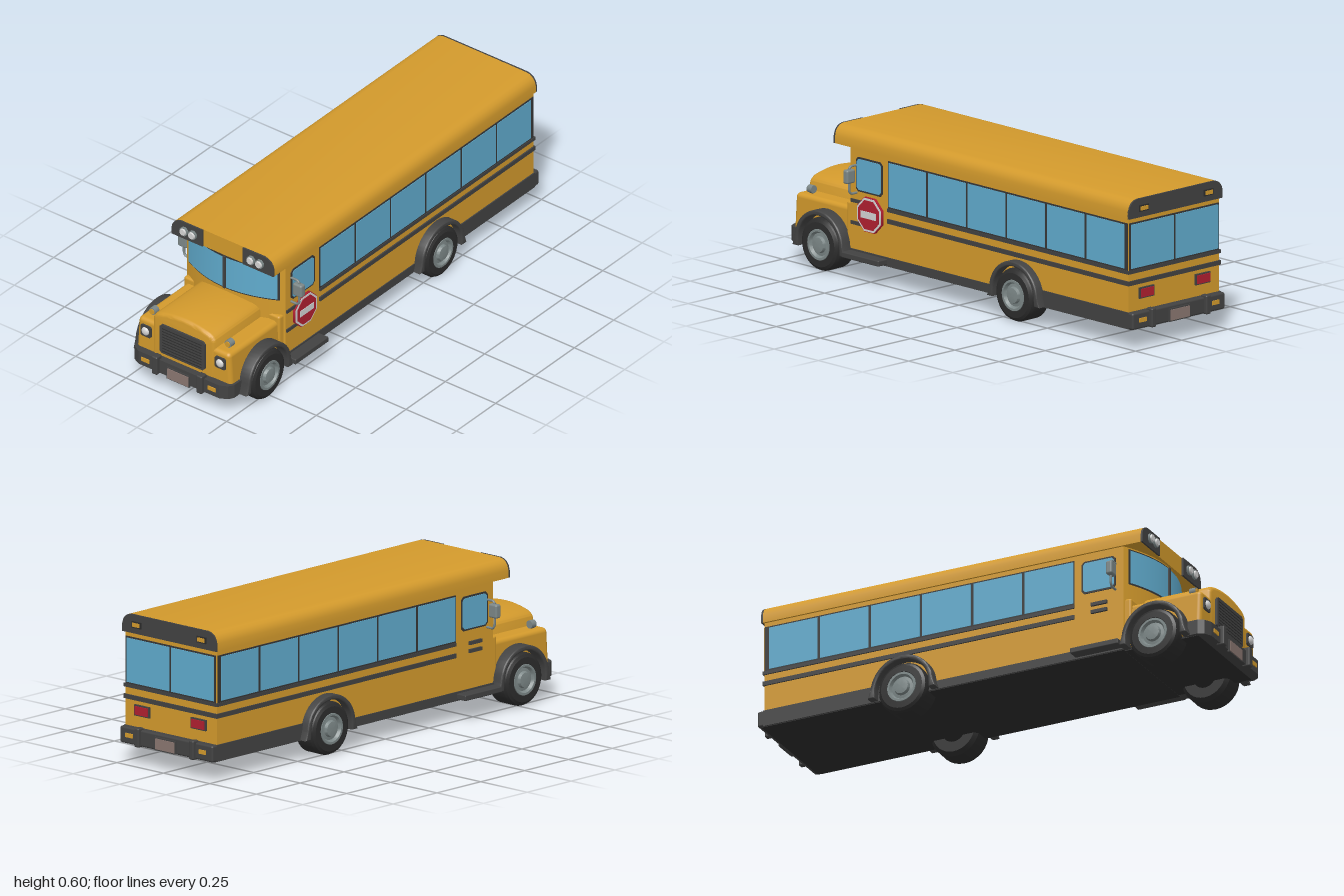
import * as THREE from 'three';
import { toCreasedNormals } from 'three/addons/utils/BufferGeometryUtils.js';
import { RoundedBoxGeometry } from 'three/addons/geometries/RoundedBoxGeometry.js';

const mat = (name, color, extra = {}) => Object.assign(new THREE.MeshStandardMaterial({ color, ...extra }), { name });

export function createModel() {
  const yellow = mat('school yellow', 0xd39a2c);
  const dark = mat('charcoal trim', 0x424242);
  const black = mat('rubber black', 0x2c2c2c);
  const glass = mat('window blue', 0x60abcd, { side: THREE.DoubleSide });
  const frame = mat('window seal', 0x363636, { side: THREE.DoubleSide });
  const grey = mat('metal grey', 0x7c8787);
  const white = mat('lamp white', 0xd4d4d4);
  const red = mat('signal red', 0xb01f30);
  const plateTone = mat('plate brown', 0x8a7670);

  const bus = new THREE.Group();
  bus.name = 'bus';
  const add = (name, geo, material, x = 0, y = 0, z = 0) => {
    const m = new THREE.Mesh(geo, material);
    m.name = name;
    m.position.set(x, y, z);
    bus.add(m);
    return m;
  };
  // box given by its limits
  const box = (name, m, x0, x1, y0, y1, z0, z1, r = 0) => {
    const s = [Math.abs(x1 - x0), y1 - y0, z1 - z0];
    const g = r ? new RoundedBoxGeometry(...s, 2, r) : new THREE.BoxGeometry(...s);
    return add(name, g, m, (x0 + x1) / 2, (y0 + y1) / 2, (z0 + z1) / 2);
  };
  const poly = pts => new THREE.Shape(pts.map(p => new THREE.Vector2(...p)));
  const extrude = (shape, depth, bevel = 0, crease = 0.6) => toCreasedNormals(new THREE.ExtrudeGeometry(shape, {
    depth: depth - 2 * bevel, bevelEnabled: bevel > 0, bevelSize: bevel, bevelOffset: -bevel,
    bevelThickness: bevel, bevelSegments: 3, curveSegments: 12,
  }).translate(0, 0, bevel), crease);
  const cut = (x0, x1, y0, y1, c) => poly([[x0 + c, y0], [x1 - c, y0], [x1, y0 + c], [x1, y1 - c],
    [x1 - c, y1], [x0 + c, y1], [x0, y1 - c], [x0, y0 + c]]);
  const disc = (r, depth, n = 24, r2 = r) => new THREE.CylinderGeometry(r2, r, depth, n).rotateX(Math.PI / 2);

  // Main body: plan outline with a bowed nose, raised along y
  const nose = x => 0.69 - 0.07 * (x / 0.245) ** 2;
  const plan = [[-0.245, 0.955], [0.245, 0.955]];
  for (let i = 0; i <= 24; i++) {
    const x = 0.245 - 0.49 * i / 24;
    plan.push([x, -nose(x)]);
  }
  add('body', extrude(poly(plan), 0.441).rotateX(-Math.PI / 2), yellow, 0, 0.085, 0);

  // Bowed windshield
  const bowed = (name, m, x0, x1, y0, y1, off) => {
    const g = new THREE.PlaneGeometry(x1 - x0, y1 - y0, 24, 1).translate((x0 + x1) / 2, (y0 + y1) / 2, 0);
    const p = g.attributes.position;
    for (let i = 0; i < p.count; i++) p.setZ(i, nose(p.getX(i)) + off);
    g.computeVertexNormals();
    add(name, g, m);
  };
  bowed('windshieldFrame', frame, -0.228, 0.228, 0.366, 0.518, 0.003);
  bowed('windshieldRight', glass, -0.221, -0.008, 0.372, 0.512, 0.006);
  bowed('windshieldLeft', glass, 0.008, 0.221, 0.372, 0.512, 0.006);
  box('windshieldDivider', dark, -0.006, 0.006, 0.368, 0.516, 0.685, 0.7);

  // Roof with rounded shoulders and dark end caps
  const shoulder = [[0.253, 0.525], [0.253, 0.556], [0.248, 0.574], [0.238, 0.588], [0.224, 0.597], [0.207, 0.601]];
  const mirrored = shoulder.map(([x, y]) => [-x, y]).reverse();
  add('roof', extrude(poly([...shoulder, ...mirrored]), 1.66), yellow, 0, 0, -0.96);
  add('roofRearCap', extrude(poly([...shoulder, ...mirrored]), 0.008), dark, 0, 0, -0.967);
  add('roofFrontCapLeft', extrude(poly([[0.1, 0.525], ...shoulder, [0.1, 0.601]]), 0.008), dark, 0, 0, 0.699);
  add('roofFrontCapRight', extrude(poly([...mirrored, [-0.253, 0.525], [-0.1, 0.525], [-0.1, 0.601]].reverse()), 0.008), dark, 0, 0, 0.699);

  // Hood with arched top
  const hood = new THREE.Shape();
  hood.moveTo(-0.157, 0.09);
  hood.lineTo(0.157, 0.09);
  hood.lineTo(0.154, 0.3);
  hood.quadraticCurveTo(0.152, 0.32, 0.125, 0.332);
  hood.quadraticCurveTo(0, 0.37, -0.125, 0.332);
  hood.quadraticCurveTo(-0.152, 0.32, -0.154, 0.3);
  add('hood', extrude(hood, 0.32, 0.016), yellow, 0, 0, 0.635);

  // Grille
  add('grillePanel', extrude(cut(-0.112, 0.112, 0.16, 0.292, 0.01), 0.016), dark, 0, 0, 0.948);
  for (let i = 0; i < 9; i++) box('grilleGap', black, -0.098, 0.098, 0.17 + i * 0.013, 0.173 + i * 0.013, 0.96, 0.9655);

  // Front bumper with swept corners
  add('frontBumper', extrude(poly([[-0.245, -0.9], [0.245, -0.9], [0.245, -0.945], [0.232, -0.968], [0.2, -0.984],
    [-0.2, -0.984], [-0.232, -0.968], [-0.245, -0.945]].reverse()), 0.06, 0, 0.4).rotateX(-Math.PI / 2), dark, 0, 0.08, 0);
  box('frontPlateHolder', dark, -0.056, 0.056, 0.072, 0.125, 0.98, 0.989);
  box('frontPlate', plateTone, -0.052, 0.052, 0.076, 0.121, 0.985, 0.992);

  // Rear bumper, plate, windows and trim
  box('rearBumper', dark, -0.25, 0.25, 0.08, 0.147, -0.985, -0.94, 0.008);
  box('rearPlateHolder', dark, -0.056, 0.056, 0.082, 0.135, -0.991, -0.98);
  box('rearPlate', plateTone, -0.051, 0.051, 0.087, 0.13, -0.994, -0.985);
  box('rearWindowFrame', frame, -0.242, 0.242, 0.315, 0.506, -0.959, -0.95);
  const stripes = [[0.301, 0.315], [0.254, 0.272]];
  for (const [a, b] of stripes) box('rearStripe', dark, -0.25, 0.25, a, b, -0.961, -0.95);

  // Underside
  box('floor', black, -0.244, 0.244, 0.078, 0.088, -0.97, 0.62);
  box('frontChassis', black, -0.23, 0.23, 0.079, 0.1, 0.6, 0.94);

  // Wheel profile, turned about the axle
  const tyre = toCreasedNormals(new THREE.LatheGeometry([[0.05, -0.055], [0.092, -0.055], [0.106, -0.04], [0.107, 0.035],
    [0.101, 0.047], [0.09, 0.054], [0.064, 0.055], [0.06, 0.045]].map(p => new THREE.Vector2(...p)), 32), 0.5).rotateZ(-Math.PI / 2);
  const hub = toCreasedNormals(new THREE.LatheGeometry([[0.064, 0.045], [0.062, 0.056], [0.053, 0.056], [0.046, 0.044],
    [0.034, 0.046], [0.03, 0.058], [0.016, 0.06], [0.0001, 0.06]].map(p => new THREE.Vector2(...p)), 32), 0.5).rotateZ(-Math.PI / 2);
  const arch = new THREE.Shape();
  arch.moveTo(0.148, -0.025);
  arch.lineTo(0.137, 0.01);
  arch.absarc(0, 0, 0.137, 0.07, Math.PI - 0.07, false);
  arch.lineTo(-0.148, -0.025);
  arch.lineTo(-0.118, -0.025);
  arch.absarc(0, 0, 0.117, Math.PI, 0, true);
  arch.lineTo(0.118, -0.025);
  const archGeo = extrude(arch, 0.07, 0.006).rotateY(Math.PI / 2);

  // Everything found on both sides
  for (const s of [1, -1]) {
    const side = s > 0 ? 'Left' : 'Right';
    const panel = (name, m, y0, y1, z0, z1, out) => box(name + side, m, s * 0.24, s * (0.245 + out), y0, y1, z0, z1);

    // wheels and arches
    for (const [pos, z] of [['front', 0.765], ['rear', -0.337]]) {
      for (const [part, geo, m] of [['Tyre', tyre, black], ['Hub', hub, grey]])
        add(pos + part + side, geo, m, s * 0.226, 0.107, z).rotation.y = s > 0 ? 0 : Math.PI;
      add(pos + 'Arch' + side, archGeo, dark, s > 0 ? 0.213 : -0.283, 0.107, z);
    }

    // fender, leaning out toward the bottom
    const fender = new RoundedBoxGeometry(0.11, 0.19, 0.335, 3, 0.018);
    const p = fender.attributes.position;
    for (let i = 0; i < p.count; i++) if (p.getX(i) * s > 0) p.setX(i, p.getX(i) + s * 0.012 * (0.5 - p.getY(i) / 0.19));
    add('fender' + side, fender, yellow, s * 0.172, 0.181, 0.785);
    box('cowl' + side, yellow, s * 0.1, s * 0.238, 0.1, 0.3, 0.58, 0.65, 0.01);

    // headlamp, fender marker, bumper guard and indicator
    add('headlampFrame' + side, extrude(cut(-0.026, 0.026, -0.026, 0.026, 0.006), 0.014), dark, s * 0.185, 0.225, 0.945);
    add('headlamp' + side, new THREE.SphereGeometry(0.018, 16, 12).scale(1, 1, 0.6), white, s * 0.185, 0.225, 0.959);
    add('markerCase' + side, disc(0.016, 0.026, 16), grey, s * 0.188, 0.292, 0.9);
    add('markerLens' + side, disc(0.012, 0.006, 16), yellow, s * 0.188, 0.292, 0.914);
    box('markerFoot' + side, dark, s * 0.182, s * 0.194, 0.268, 0.282, 0.89, 0.908);
    box('frontGuard' + side, dark, s * 0.097, s * 0.125, 0.073, 0.155, 0.965, 1.0, 0.006);
    box('frontIndicator' + side, yellow, s * 0.145, s * 0.184, 0.102, 0.119, 0.979, 0.988);

    // roof warning lamps
    for (const x of [0.145, 0.188]) {
      add('roofLampRim' + side, disc(0.02, 0.014, 8).rotateZ(Math.PI / 8), grey, s * x, 0.563, 0.709);
      add('roofLamp' + side, disc(0.017, 0.01, 8, 0.014).rotateZ(Math.PI / 8), white, s * x, 0.563, 0.718);
    }

    // rear lamps, guard and window
    box('rearRoofLampRim' + side, black, s * 0.15, s * 0.2, 0.548, 0.574, -0.971, -0.96);
    box('rearRoofLamp' + side, yellow, s * 0.156, s * 0.194, 0.553, 0.569, -0.974, -0.965);
    box('tailLampRim' + side, dark, s * 0.112, s * 0.192, 0.194, 0.238, -0.963, -0.95);
    box('tailLamp' + side, red, s * 0.118, s * 0.186, 0.199, 0.233, -0.967, -0.958);
    box('rearIndicator' + side, yellow, s * 0.178, s * 0.216, 0.107, 0.124, -0.989, -0.98);
    box('rearGuard' + side, dark, s * 0.135, s * 0.16, 0.078, 0.155, -1.0, -0.965, 0.006);
    box('rearWindow' + side, glass, s * 0.006, s * 0.235, 0.322, 0.5, -0.962, -0.953);

    // side windows
    panel('windowBand', frame, 0.315, 0.506, -0.952, 0.406, 0.003);
    for (let i = 0; i < 6; i++) {
      const z = 0.401 - i * 0.2245;
      panel('sideWindow', glass, 0.322, 0.5, z - 0.213, z, 0.005);
    }
    const cabFrame = extrude(cut(-0.075, 0.075, 0.353, 0.492, 0.012), 0.004).rotateY(Math.PI / 2);
    const cabGlass = extrude(cut(-0.068, 0.068, 0.36, 0.485, 0.01), 0.004).rotateY(Math.PI / 2);
    add('cabWindowFrame' + side, cabFrame, frame, s > 0 ? 0.244 : -0.248, 0, 0.512);
    add('cabWindow' + side, cabGlass, glass, s > 0 ? 0.246 : -0.25, 0, 0.512);

    // stripes, skirt and step
    for (const [a, b] of stripes) panel('sideStripe', dark, a, b, -0.961, 0.406, 0.006);
    panel('skirt', dark, 0.08, 0.116, -0.3, 0.62, 0.004);
    panel('rearSkirt', dark, 0.08, 0.147, -0.96, -0.4, 0.005);
    box('step' + side, dark, s * 0.23, s * 0.296, 0.086, 0.109, 0.41, 0.62, 0.004);

    // mirror on bent brackets
    const bracket = (y0, y1) => new THREE.TubeGeometry(new THREE.CatmullRomCurve3([[0.24, y0], [0.275, y0],
      [0.286, y0 + (y1 - y0) * 0.2], [0.286, y1]].map(([x, y]) => new THREE.Vector3(s * x, y, 0.585)), false, 'catmullrom', 0.2), 14, 0.005, 8);
    add('mirrorBracketTop' + side, bracket(0.457, 0.42), grey);
    add('mirrorBracketBottom' + side, bracket(0.346, 0.41), grey);
    box('mirror' + side, grey, s * 0.263, s * 0.308, 0.39, 0.446, 0.572, 0.6, 0.008);
  }

  // Hinges on the right, stop arm on the left
  for (const y of [0.3, 0.268]) box('doorHandleRight', dark, -0.254, -0.24, y - 0.007, y + 0.007, 0.48, 0.55);
  for (const y of [0.311, 0.222]) box('stopArmHinge', dark, 0.24, 0.25, y - 0.007, y + 0.007, 0.5, 0.615);
  const octagon = (name, m, r, x0, x1) => add(name, new THREE.CylinderGeometry(r, r, x1 - x0, 8).rotateY(Math.PI / 8)
    .rotateZ(-Math.PI / 2), m, (x0 + x1) / 2, 0.27, 0.503);
  octagon('stopSignEdge', red, 0.075, 0.245, 0.256);
  octagon('stopSignRim', white, 0.072, 0.25, 0.258);
  octagon('stopSignFace', red, 0.063, 0.252, 0.26);
  box('stopSignBar', white, 0.254, 0.262, 0.256, 0.284, 0.46, 0.546);

  return bus;
}
